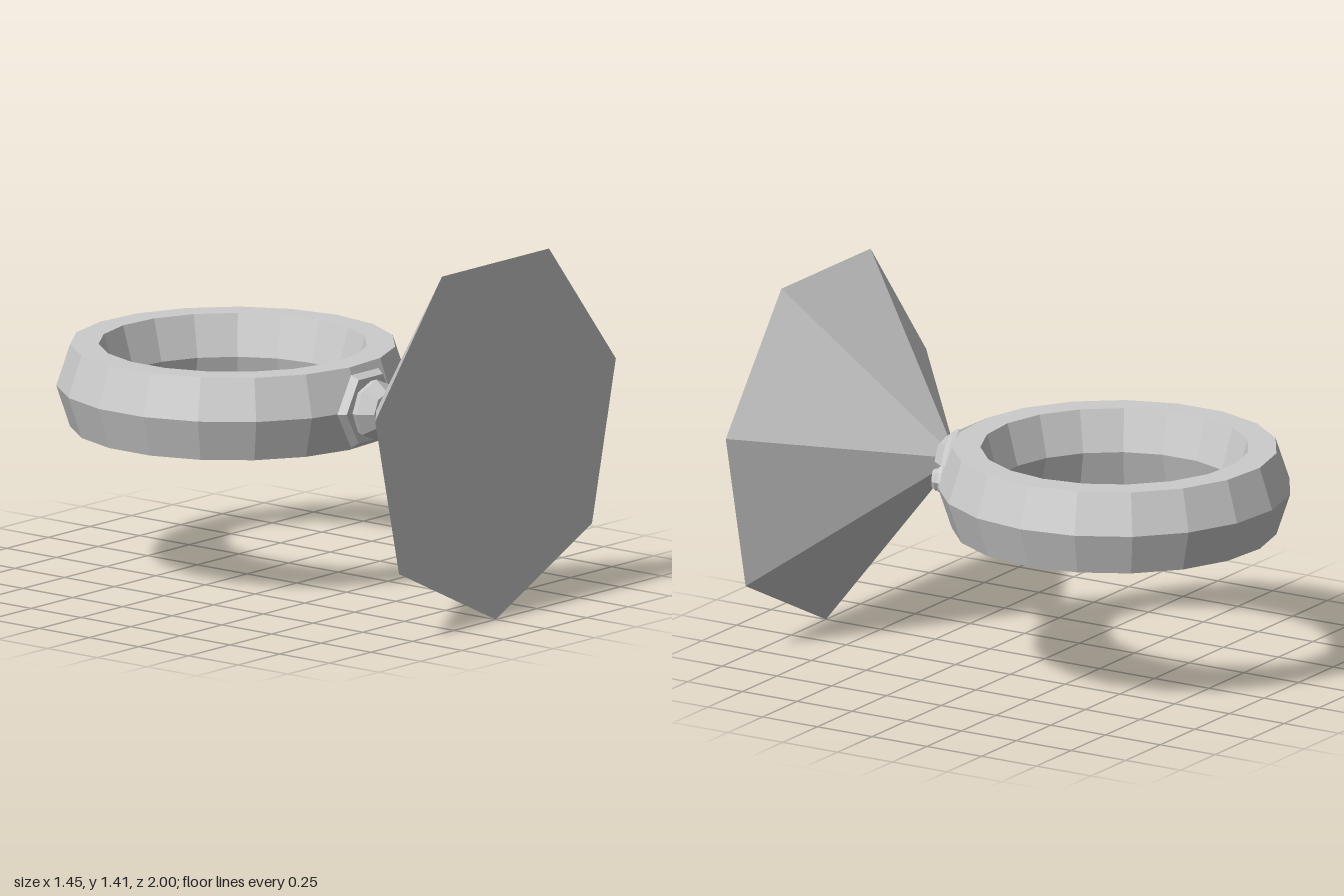
import * as THREE from 'three';

const MID_Y = 0.745;   // height of the ring's middle plane
const RING_Z = -0.32;  // centre of the band

const material = new THREE.MeshStandardMaterial({ color: 0xcccccc, flatShading: true });

function addPart(parent, name, geometry) {
  const mesh = new THREE.Mesh(geometry, material);
  mesh.name = name;
  parent.add(mesh);
  return mesh;
}

// Faceted solid turned about y, with its first corner on +x
function turned(profile, sides) {
  return new THREE.LatheGeometry(profile.map(([r, y]) => new THREE.Vector2(r, y)), sides, Math.PI / 2);
}

export function createModel() {
  const model = new THREE.Group();
  model.name = 'ring';

  // Finger band with a six-sided section
  const band = addPart(model, 'band', turned([
    [0.472, 0], [0.52, -0.163], [0.63, -0.163], [0.684, 0],
    [0.63, 0.163], [0.52, 0.163], [0.472, 0],
  ], 19));
  band.position.set(0, MID_Y, RING_Z);

  // Setting: a six-sided collar and a faceted cup, both opening toward the front
  const setting = new THREE.Group();
  setting.name = 'setting';
  setting.position.y = MID_Y;
  model.add(setting);
  addPart(setting, 'collar', turned([
    [0, 0.3], [0.125, 0.315], [0.165, 0.342], [0.145, 0.372], [0, 0.375],
  ], 6).rotateX(Math.PI / 2));
  addPart(setting, 'cup', turned([
    [0, 0.36], [0.11, 0.372], [0.12, 0.4], [0.078, 0.455], [0, 0.46],
  ], 8).rotateX(Math.PI / 2));

  // Large seven-sided stone, point toward the band
  const stone = addPart(model, 'stone',
    new THREE.ConeGeometry(0.743, 0.6, 7, 1, false, Math.PI).rotateX(-Math.PI / 2));
  stone.position.set(0, MID_Y, 0.7);

  // Small stud on the band beside the setting
  const stud = new THREE.Group();
  stud.name = 'stud';
  const angle = 0.42;
  stud.position.set(0.675 * Math.sin(angle), MID_Y, RING_Z + 0.675 * Math.cos(angle));
  stud.rotation.y = angle;
  model.add(stud);
  addPart(stud, 'studBase', turned([
    [0, -0.04], [0.045, -0.03], [0.057, -0.005], [0.05, 0.012], [0, 0.014],
  ], 8).rotateX(Math.PI / 2));
  addPart(stud, 'studHead', turned([
    [0, 0], [0.043, 0.01], [0.045, 0.025], [0.036, 0.036], [0, 0.038],
  ], 8).rotateX(Math.PI / 2));

  return model;
}
